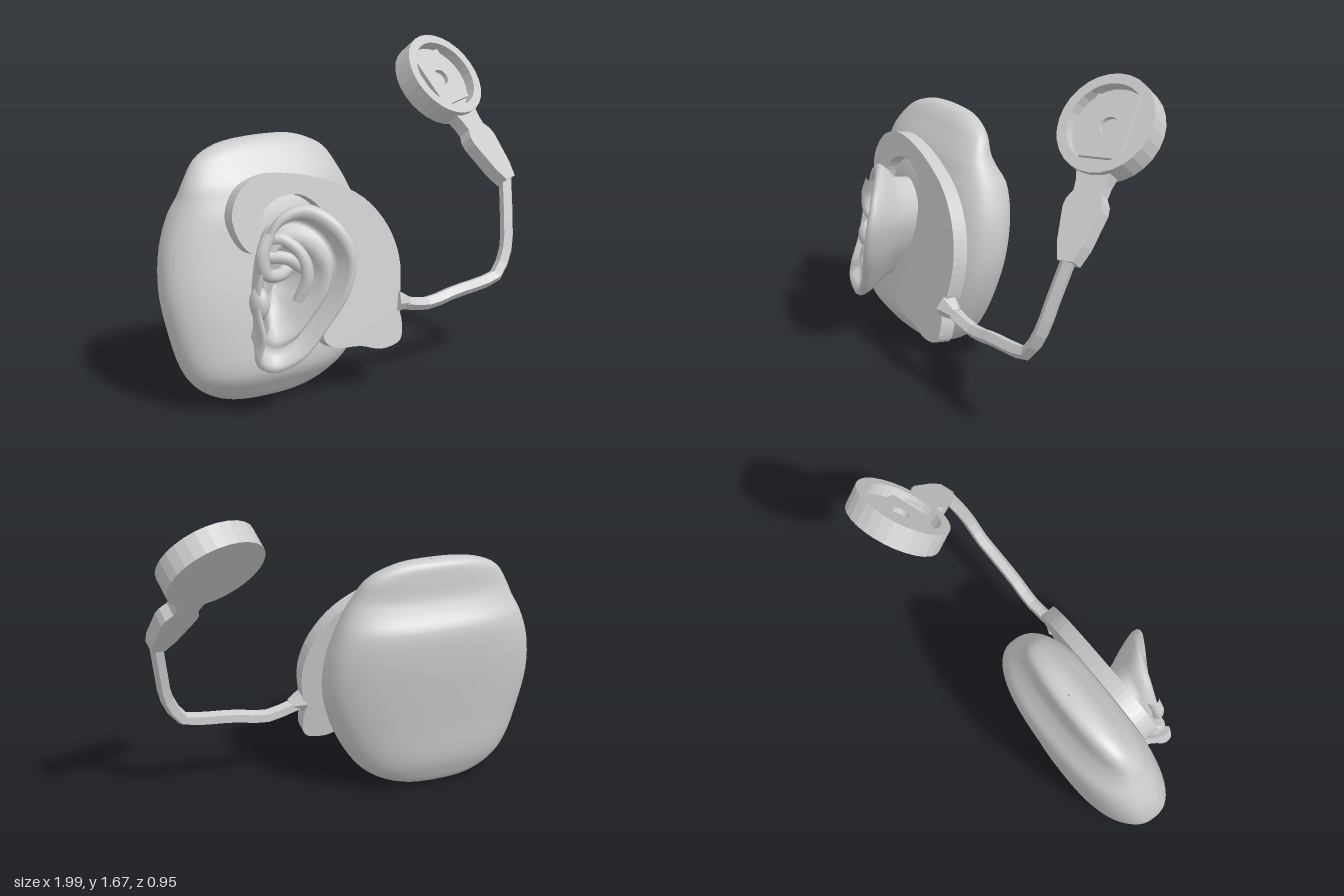
import * as THREE from 'three';

const V = (p) => new THREE.Vector3(...p);
const smooth = new THREE.MeshStandardMaterial({ color: 0xcccccc });
const flat = new THREE.MeshStandardMaterial({ color: 0xcccccc, flatShading: true });

function addMesh(parent, name, geometry, material) {
  const mesh = new THREE.Mesh(geometry, material);
  mesh.name = name;
  parent.add(mesh);
  return mesh;
}

// Skin a list of closed rings (arrays of Vector3) with shared vertices
function loft(rings) {
  const n = rings[0].length;
  const index = [];
  for (let i = 0; i < rings.length - 1; i++) {
    for (let j = 0; j < n; j++) {
      const a = i * n + j, b = i * n + ((j + 1) % n);
      index.push(a, a + n, b, b, a + n, b + n);
    }
  }
  const g = new THREE.BufferGeometry().setFromPoints(rings.flat());
  g.setIndex(index);
  g.computeVertexNormals();
  return g;
}

// Rounded block of head behind the ear: rows of [y, xMin, xMax, zMin, zMax]
function headGeometry() {
  const rows = [
    [0, -0.52, -0.48, -0.04, -0.02], [0.025, -0.72, -0.27, -0.12, 0.08],
    [0.1, -0.85, -0.12, -0.17, 0.15], [0.2, -0.92, -0.03, -0.21, 0.21],
    [0.4, -0.975, 0.07, -0.24, 0.2], [0.6, -1, 0.12, -0.27, 0.17],
    [0.8, -0.975, 0.11, -0.295, 0.13], [0.95, -0.92, 0.06, -0.295, 0.1],
    [1.03, -0.88, 0.02, -0.25, 0.07], [1.1, -0.85, -0.02, -0.22, 0.04],
    [1.2, -0.78, -0.08, -0.21, -0.03], [1.26, -0.66, -0.19, -0.2, -0.08],
    [1.282, -0.5, -0.3, -0.17, -0.12], [1.283, -0.41, -0.4, -0.146, -0.144],
  ];
  const xs = new THREE.CatmullRomCurve3(rows.map((r) => V([r[1], r[0], r[2]])));
  const zs = new THREE.CatmullRomCurve3(rows.map((r) => V([r[3], r[0], r[4]])));
  const power = (c) => Math.sign(c) * Math.abs(c) ** 0.82;
  const rings = [];
  for (let i = 0; i <= 52; i++) {
    const x = xs.getPoint(i / 52), z = zs.getPoint(i / 52);
    const ring = [];
    for (let j = 0; j < 64; j++) {
      const a = (j / 64) * Math.PI * 2;
      ring.push(V([
        (x.x + x.z) / 2 + ((x.z - x.x) / 2) * power(Math.cos(a)),
        x.y,
        (z.x + z.z) / 2 + ((z.z - z.x) / 2) * power(Math.sin(a)),
      ]));
    }
    rings.push(ring);
  }
  return loft(rings);
}

// Outer ear: the rim curve is scaled inward, rolling from back to concha
function earGeometry() {
  const rim = new THREE.CatmullRomCurve3([
    [-0.62, 0.25, 0.34], [-0.48, 0.3, 0.38], [-0.36, 0.45, 0.41], [-0.26, 0.62, 0.445],
    [-0.22, 0.8, 0.44], [-0.28, 0.95, 0.38], [-0.4, 1.03, 0.3], [-0.52, 0.99, 0.26],
    [-0.59, 0.88, 0.25], [-0.64, 0.72, 0.26], [-0.67, 0.55, 0.28], [-0.67, 0.4, 0.33],
    [-0.69, 0.3, 0.33],
  ].map(V).reverse(), true).getPoints(80).slice(0, 80);
  // [scale, blend from concha floor to rim height, offset in z]
  const steps = [
    [0.72, 0, -0.12], [0.78, 0.2, -0.02], [0.88, 0.5, -0.02], [0.96, 0.75, -0.01],
    [1, 0.9, 0], [0.995, 1, 0.005], [0.96, 1, 0.02], [0.9, 1, 0.022], [0.84, 1, 0.005],
    [0.8, 0.9, -0.045], [0.74, 0.8, -0.05], [0.68, 0.85, -0.015], [0.6, 0.85, 0.005],
    [0.52, 0.7, 0], [0.43, 0.35, 0], [0.3, 0.08, 0], [0.15, -0.1, 0], [0.001, -0.15, 0],
  ];
  return loft(steps.map(([s, mix, dz]) => rim.map((p) => {
    const x = -0.53 + (p.x + 0.53) * s, y = 0.62 + (p.y - 0.62) * s;
    const fold = dz < 0 && s < 0.9 && s > 0.6 ? THREE.MathUtils.smoothstep(y, 0.32, 0.5) : 1;
    return V([x, y, 0.2 + (p.z - 0.2) * mix + dz * fold]);
  })));
}

function tube(points, radius, sides, segments) {
  return new THREE.TubeGeometry(new THREE.CatmullRomCurve3(points.map(V)), segments, radius, sides);
}

function addEar(parent) {
  const ear = new THREE.Group();
  ear.name = 'ear';
  parent.add(ear);
  addMesh(ear, 'outerEar', earGeometry(), smooth);
  // Inner folds of cartilage
  const folds = [
    [[-0.58, 0.9, 0.25], [-0.62, 0.8, 0.26], [-0.6, 0.71, 0.26], [-0.52, 0.69, 0.24], [-0.45, 0.71, 0.2]],
    [[-0.44, 0.56, 0.28], [-0.41, 0.68, 0.31], [-0.43, 0.79, 0.29], [-0.5, 0.86, 0.24], [-0.56, 0.86, 0.2]],
    [[-0.42, 0.72, 0.28], [-0.49, 0.77, 0.26], [-0.57, 0.78, 0.22]],
  ];
  for (const f of folds) addMesh(ear, 'cartilageFold', tube(f, 0.032, 10, 24), smooth);
  const tragus = addMesh(ear, 'tragus', new THREE.SphereGeometry(1, 20, 14), smooth);
  tragus.scale.set(0.045, 0.08, 0.06);
  tragus.position.set(-0.635, 0.57, 0.25);
}

// Flat hooked case worn over the ear
function addHook(parent) {
  const outline = [
    [-0.59, 0.785], [-0.65, 0.8], [-0.7, 0.87], [-0.72, 0.98], [-0.66, 1.09], [-0.55, 1.14],
    [-0.42, 1.14], [-0.2, 1.08], [0, 0.97], [0.12, 0.82], [0.17, 0.66], [0.16, 0.5],
    [0.14, 0.43], [0.15, 0.33], [0.13, 0.25], [0.02, 0.225], [-0.1, 0.26], [-0.25, 0.28],
    [-0.3, 0.33], [-0.27, 0.45], [-0.23, 0.6], [-0.215, 0.8], [-0.25, 0.95], [-0.35, 1.03],
    [-0.47, 1.03], [-0.56, 0.97], [-0.59, 0.88], [-0.57, 0.81],
  ];
  const curve = new THREE.CatmullRomCurve3(
    outline.map(([x, y]) => V([x, (y - 0.23) * 1.017, 0])), true, 'centripetal');
  const shape = new THREE.Shape(curve.getPoints(112).slice(0, 112).map((p) => new THREE.Vector2(p.x, p.y)));
  const hook = addMesh(parent, 'earHook',
    new THREE.ExtrudeGeometry(shape, { depth: 0.08, bevelEnabled: false }), flat);
  hook.position.set(0, 0.222, 0.215);
  hook.rotation.x = -0.185;
}

// Paddle arm and round headpiece share one tilted frame, y along the arm
function addHeadpiece(parent) {
  const up = V([-0.3, 0.77, -0.56]).normalize();
  const out = V([0.2, 0.66, 0.73]);
  out.addScaledVector(up, -out.dot(up)).normalize();
  const side = new THREE.Vector3().crossVectors(up, out);
  const piece = new THREE.Group();
  piece.name = 'headpiece';
  piece.quaternion.setFromRotationMatrix(new THREE.Matrix4().makeBasis(side, up, out));
  piece.position.set(0.935, 0.935, 0.09);
  parent.add(piece);

  const half = [[0.04, 0], [0.07, 0.08], [0.1, 0.25], [0.095, 0.29], [0.07, 0.33], [0.075, 0.38], [0.1, 0.47]];
  const mirrored = half.map(([x, y]) => [-x, y]).reverse();
  const shape = new THREE.Shape([...half, ...mirrored].map(([x, y]) => new THREE.Vector2(x, y)));
  const arm = addMesh(piece, 'paddleArm',
    new THREE.ExtrudeGeometry(shape, { depth: 0.075, bevelEnabled: false }), flat);
  arm.position.z = -0.045;

  // Shallow cup with a raised ring
  const profile = [[0, -0.06], [0.245, -0.06], [0.245, 0.06], [0.195, 0.06], [0.195, 0], [0, 0]];
  const cup = addMesh(piece, 'discCup',
    new THREE.LatheGeometry(profile.map(([x, y]) => new THREE.Vector2(x, y)), 28), flat);
  cup.rotation.x = Math.PI / 2;
  cup.position.y = 0.655;

  // Pierced centre strip inside the cup
  const strip = new THREE.Shape();
  strip.moveTo(-0.11, -0.155).lineTo(0.11, -0.155).lineTo(0.11, 0.155).lineTo(-0.11, 0.155);
  strip.holes.push(new THREE.Path().absarc(0, 0, 0.045, 0, Math.PI * 2, true));
  const plate = addMesh(piece, 'centreStrip',
    new THREE.ExtrudeGeometry(strip, { depth: 0.025, bevelEnabled: false, curveSegments: 10 }), flat);
  plate.position.set(0, 0.655, -0.001);
}

export function createModel() {
  const model = new THREE.Group();
  model.name = 'earWithHearingImplant';
  addMesh(model, 'headSection', headGeometry(), smooth);
  addEar(model);
  addHook(model);

  // Faceted cable from the case to the headpiece
  addMesh(model, 'cable', tube([
    [0.12, 0.44, 0.22], [0.2, 0.42, 0.22], [0.35, 0.39, 0.21], [0.52, 0.42, 0.21], [0.7, 0.44, 0.205],
    [0.79, 0.46, 0.2], [0.87, 0.59, 0.18], [0.9, 0.75, 0.14], [0.93, 0.95, 0.08],
  ], 0.036, 5, 16), flat);
  const plug = addMesh(model, 'cablePlug', new THREE.CylinderGeometry(0.03, 0.065, 0.08, 6), flat);
  plug.rotation.z = -Math.PI / 2 - 0.2;
  plug.position.set(0.175, 0.435, 0.225);

  addHeadpiece(model);
  return model;
}
